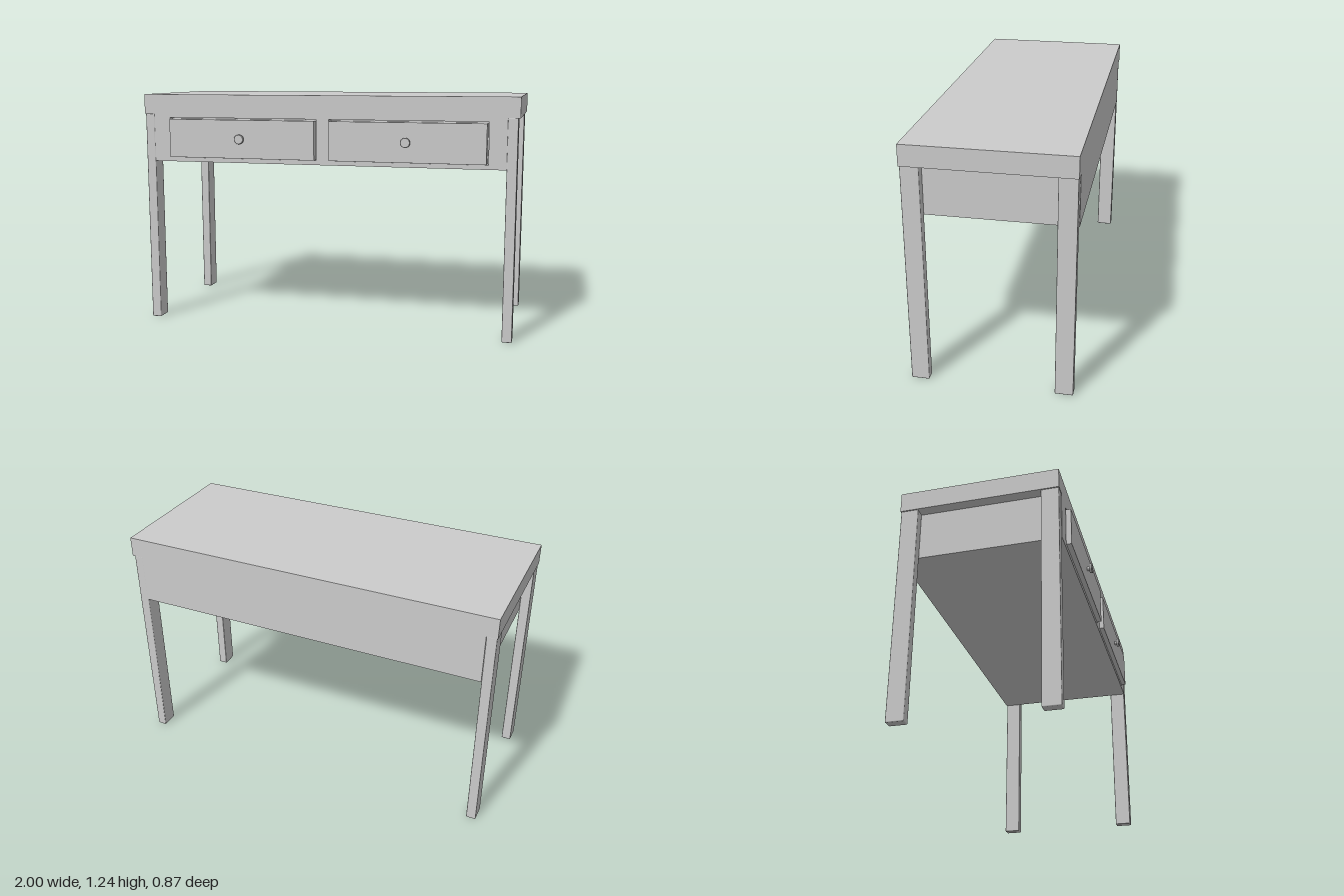
import * as THREE from 'three';
import { RoundedBoxGeometry } from 'three/addons/geometries/RoundedBoxGeometry.js';

const material = new THREE.MeshStandardMaterial({ color: 0xcccccc });

function addMesh(parent, name, geometry, x = 0, y = 0, z = 0) {
  const mesh = new THREE.Mesh(geometry, material);
  mesh.name = name;
  mesh.position.set(x, y, z);
  parent.add(mesh);
  return mesh;
}

// Box given by its minimum and maximum corners; a radius softens the edges.
function addBox(parent, name, [x0, y0, z0], [x1, y1, z1], radius = 0) {
  const size = [x1 - x0, y1 - y0, z1 - z0];
  const geometry = radius
    ? new RoundedBoxGeometry(...size, 2, radius)
    : new THREE.BoxGeometry(...size);
  return addMesh(parent, name, geometry, (x0 + x1) / 2, (y0 + y1) / 2, (z0 + z1) / 2);
}

function rectangle(PathType, x0, y0, x1, y1) {
  return new PathType([[x0, y0], [x1, y0], [x1, y1], [x0, y1]].map(([x, y]) => new THREE.Vector2(x, y)));
}

export function createModel() {
  const desk = new THREE.Group();
  desk.name = 'desk';
  const back = -0.433, front = 0.38, panel = 0.05;

  addBox(desk, 'tabletop', [-1, 1.135, back], [1, 1.24, front]);

  // Closed case under the top, with a front panel cut out for the drawers
  addBox(desk, 'case', [-0.945, 0.88, back], [0.94, 1.135, front - panel]);
  const face = rectangle(THREE.Shape, -0.945, 0.88, 0.94, 1.135);
  face.holes.push(rectangle(THREE.Path, -0.853, 0.903, -0.034, 1.117));
  face.holes.push(rectangle(THREE.Path, 0.033, 0.903, 0.85, 1.117));
  addMesh(desk, 'frontPanel',
    new THREE.ExtrudeGeometry(face, { depth: panel, bevelEnabled: false }), 0, 0, front - panel);

  // Two drawers with turned knobs
  const knobProfile = [[0, 0], [0.011, 0], [0.011, 0.013], [0.024, 0.013], [0.025, 0.015],
    [0.025, 0.026], [0.023, 0.028], [0, 0.028]].map(([r, h]) => new THREE.Vector2(r, h));
  const knobGeometry = new THREE.LatheGeometry(knobProfile, 32).toNonIndexed();
  knobGeometry.computeVertexNormals();
  knobGeometry.rotateX(Math.PI / 2);
  for (const [side, x0, x1] of [['right', -0.845, -0.04], ['left', 0.038, 0.842]]) {
    const drawer = new THREE.Group();
    drawer.name = `${side}Drawer`;
    addBox(drawer, 'drawerFront', [x0, 0.906, front - panel], [x1, 1.109, 0.405]);
    addMesh(drawer, 'knob', knobGeometry, (x0 + x1) / 2, 1.009, 0.405);
    desk.add(drawer);
  }

  // Four flat legs standing against the ends of the case
  for (const [side, x0, x1] of [['right', -0.996, -0.945], ['left', 0.939, 0.99]]) {
    addBox(desk, `${side}FrontLeg`, [x0, 0, 0.288], [x1, 1.136, 0.378], 0.005);
    addBox(desk, `${side}BackLeg`, [x0, 0, -0.43], [x1, 1.136, -0.34], 0.005);
  }
  return desk;
}
